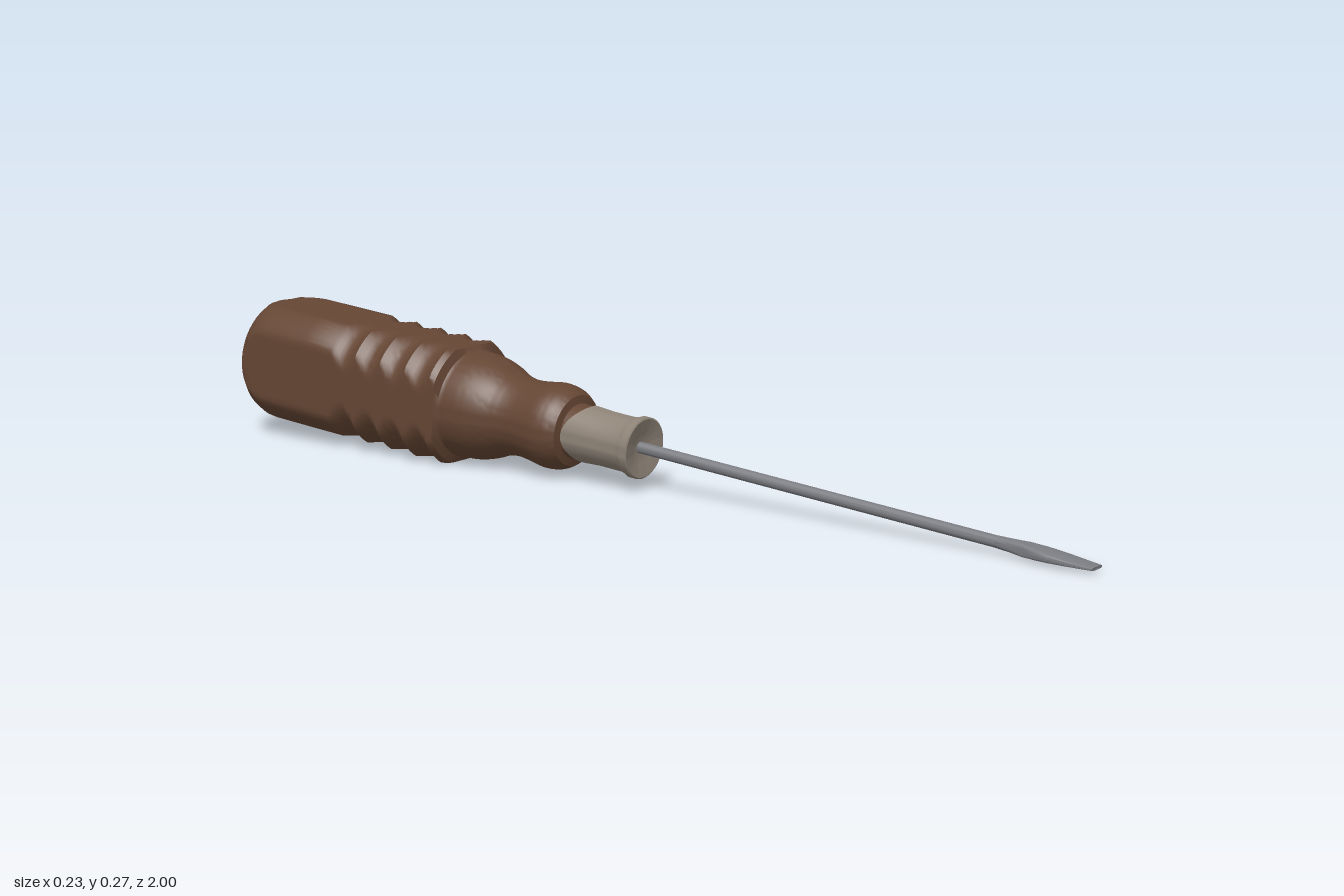
import * as THREE from 'three';
import { toCreasedNormals } from 'three/addons/utils/BufferGeometryUtils.js';

// Skin a row of rings, ordered back to front; point(ring, angle) gives [x, y, z]
function loft(rings, sides, point, crease = 0.6) {
  const pos = [], index = [];
  rings.forEach((ring) => {
    for (let j = 0; j < sides; j++) pos.push(...point(ring, (j / sides) * Math.PI * 2));
  });
  for (let i = 0; i < rings.length - 1; i++) {
    for (let j = 0; j < sides; j++) {
      const k = (j + 1) % sides;
      const a = i * sides + j, b = i * sides + k, c = b + sides, d = a + sides;
      index.push(a, b, c, a, c, d);
    }
  }
  const geo = new THREE.BufferGeometry();
  geo.setAttribute('position', new THREE.Float32BufferAttribute(pos, 3));
  geo.setIndex(index);
  return toCreasedNormals(geo, crease);
}

export function createModel() {
  const wood = new THREE.MeshStandardMaterial({ color: 0x654634 });
  const ferruleMetal = new THREE.MeshStandardMaterial({ color: 0x8f8478 });
  const steel = new THREE.MeshStandardMaterial({ color: 0x7c7d82 });
  wood.name = 'brown handle';
  ferruleMetal.name = 'warm grey collar';
  steel.name = 'steel';

  const tool = new THREE.Group();
  tool.name = 'screwdriver';
  const add = (name, geo, mat) => {
    const mesh = new THREE.Mesh(geo, mat);
    mesh.name = name;
    tool.add(mesh);
  };

  // Handle: a turned profile [z, radius] whose four sides are planed flat
  const profile = [
    [-1.002, 0.0005], [-1.0, 0.04], [-0.995, 0.07], [-0.985, 0.095], [-0.972, 0.113],
    [-0.955, 0.126], [-0.935, 0.133], [-0.91, 0.136], [-0.8, 0.136],
  ];
  // Scooped finger grooves, which only bite into the rounded corners
  const grooves = 4, steps = 8, start = -0.72, pitch = 0.067;
  for (let g = 0; g < grooves; g++) {
    for (let s = 0; s < steps; s++) {
      const t = s / steps;
      profile.push([start + (g + t) * pitch, 0.135 - 0.014 * Math.sin(Math.PI * t)]);
    }
  }
  profile.push([start + grooves * pitch, 0.134], [-0.44, 0.128], [-0.434, 0.11]);
  // Shoulder, waist and front bead
  const neck = new THREE.SplineCurve([
    [-0.432, 0.109], [-0.39, 0.106], [-0.355, 0.097], [-0.32, 0.083], [-0.285, 0.078],
    [-0.25, 0.081], [-0.215, 0.086], [-0.185, 0.082], [-0.165, 0.071],
  ].map(([z, r]) => new THREE.Vector2(z, r)));
  neck.getPoints(32).forEach((p) => profile.push([p.x, p.y]));
  profile.push([-0.162, 0.055], [-0.12, 0.0525], [-0.118, 0.0005]);
  const clamp = THREE.MathUtils.clamp;
  add('handle', loft(profile, 72, ([z, r], a) => [
    clamp(r * Math.cos(a), -0.115, 0.115),
    clamp(r * Math.sin(a), -0.117, 0.117),
    z,
  ]), wood);

  // Collar with a flared front lip; its rear edge is cut back above and below
  const collar = [
    [-0.145, 0.05, 1], [-0.145, 0.057, 1], [-0.09, 0.0545, 0], [-0.03, 0.0545, 0],
    [-0.016, 0.058, 0], [-0.01, 0.061, 0], [0.002, 0.061, 0], [0.004, 0.058, 0],
    [-0.002, 0.03, 0], [-0.01, 0.0005, 0],
  ];
  add('collar', loft(collar, 48, ([z, r, cut], a) => [
    r * Math.cos(a), r * Math.sin(a), z - cut * 0.016 * Math.cos(2 * a),
  ]), ferruleMetal);

  // Shaft and flattened blade: rings are [z, half width, half thickness]
  const oval = ([z, w, h], a) => [w * Math.cos(a), h * Math.sin(a), z];
  add('shaft', loft([[-0.03, 0.0115, 0.0115], [0.8, 0.0115, 0.0115]], 12, oval), steel);
  const blade = [
    [0.8, 0.0115, 0.0115], [0.83, 0.014, 0.0128], [0.86, 0.019, 0.0125], [0.89, 0.024, 0.0108],
    [0.915, 0.0255, 0.009], [0.95, 0.024, 0.0065], [1.002, 0.018, 0.003], [1.0025, 0.0005, 0.0005],
  ];
  // Squarer section towards the tip
  add('blade', loft(blade, 24, ([z, w, h], a) => {
    const n = z > 0.84 ? 0.55 : 1;
    const pow = (v) => Math.sign(v) * Math.abs(v) ** n;
    return [w * pow(Math.cos(a)), h * pow(Math.sin(a)), z];
  }), steel);

  // Resting on the floor: tip down, handle end raised
  tool.rotation.x = 0.0753;
  tool.position.y = 0.085;
  const model = new THREE.Group();
  model.name = 'model';
  model.add(tool);
  return model;
}
